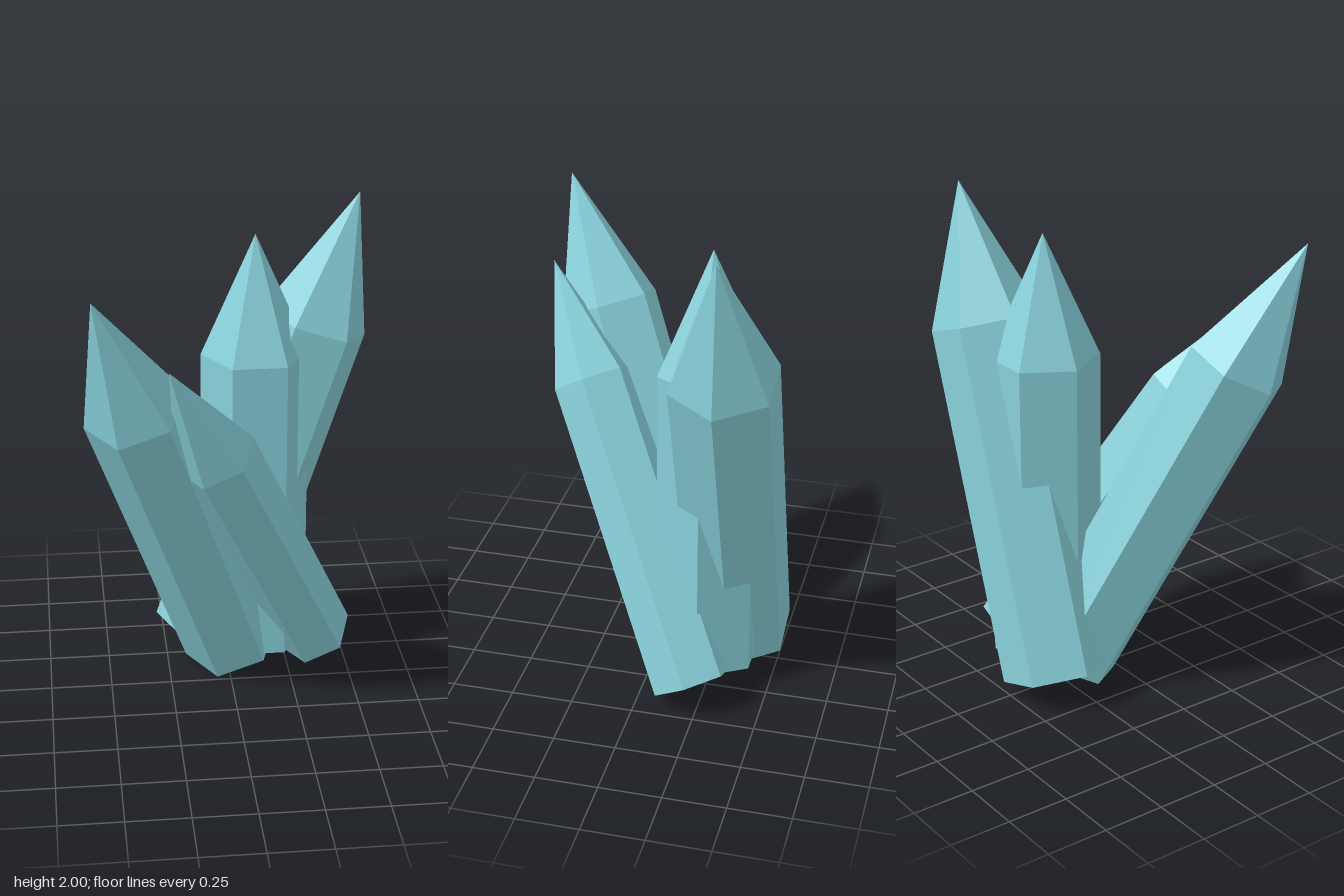
import * as THREE from 'three';

const V = (a) => new THREE.Vector3(...a);

// Six-sided crystal: straight shaft from base, then a pointed tip ending at apex.
// corner is the rough direction from the axis to one of the hexagon's corners.
function makeCrystal({ name, base, apex, radius, corner }, material) {
  const axis = V(apex).sub(V(base));
  const length = axis.length();
  axis.normalize();
  const profile = [[0, 0], [radius, 0], [radius, length * 0.721], [0, length]]
    .map(([x, y]) => new THREE.Vector2(x, y));
  const geometry = new THREE.LatheGeometry(profile, 6).toNonIndexed();
  geometry.computeVertexNormals();

  // Orient the hexagon: y along the axis, z towards the corner
  const z = V(corner);
  z.addScaledVector(axis, -z.dot(axis)).normalize();
  const x = new THREE.Vector3().crossVectors(axis, z);
  geometry.applyMatrix4(new THREE.Matrix4().makeBasis(x, axis, z).setPosition(V(base)));

  const mesh = new THREE.Mesh(geometry, material);
  mesh.name = name;
  return mesh;
}

export function createModel() {
  const crystalBlue = new THREE.MeshStandardMaterial({ color: 0x88d0da, flatShading: true });
  crystalBlue.name = 'crystalBlue';

  const crystals = [
    { name: 'uprightCrystal', base: [0.12, 0.095, -0.23], apex: [0.12, 1.87, -0.23], radius: 0.22, corner: [1, 0, 0] },
    { name: 'tallBackCrystal', base: [-0.08, 0.095, -0.323], apex: [0.55, 2.0, -0.333], radius: 0.22, corner: [0.21, -0.067, 0] },
    { name: 'rightLeaningCrystal', base: [0.02, 0.095, -0.19], apex: [-0.555, 1.86, 0.515], radius: 0.205, corner: [-0.195, -0.07, 0.002] },
    { name: 'smallFrontCrystal', base: [0.378, 0.095, -0.22], apex: [-0.28, 1.585, 0.515], radius: 0.163, corner: [0.15, 0.064, 0] },
  ];

  const group = new THREE.Group();
  group.name = 'crystalCluster';
  for (const c of crystals) group.add(makeCrystal(c, crystalBlue));
  return group;
}
